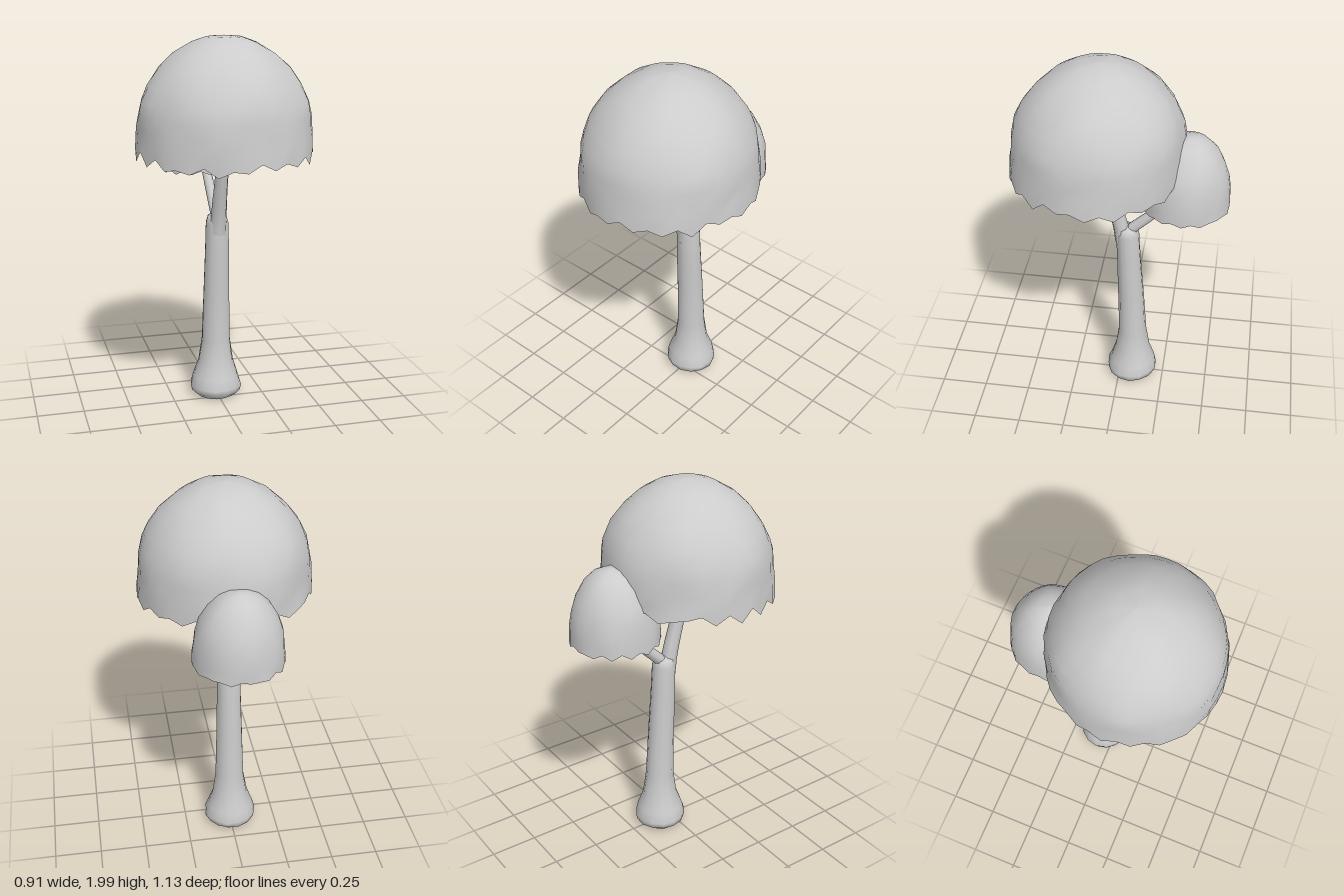
import * as THREE from 'three';

const grey = new THREE.MeshStandardMaterial({ color: 0xcccccc, side: THREE.DoubleSide });

// Small repeatable value in -1..1
const hash = (n) => {
  const s = Math.sin(n * 127.1 + 11.7) * 43758.5453;
  return 2 * (s - Math.floor(s)) - 1;
};

// Skins rings of equal point count, seams welded so the normals stay smooth
function skin(name, rings) {
  const n = rings[0].length, index = [];
  for (let j = 0; j < rings.length - 1; j++) {
    for (let i = 0; i < n; i++) {
      const a = j * n + i, b = j * n + (i + 1) % n;
      index.push(a, a + n, b, b, a + n, b + n);
    }
  }
  const geometry = new THREE.BufferGeometry();
  geometry.setAttribute('position', new THREE.Float32BufferAttribute(rings.flat(2), 3));
  geometry.setIndex(index);
  geometry.computeVertexNormals();
  const mesh = new THREE.Mesh(geometry, grey);
  mesh.name = name;
  return mesh;
}

// Limb bending in the x = 0 plane; rows are [y, z, radius]
function limb(name, rows, sides, roughness) {
  const rings = rows.map(([y, z, r], j) => {
    const p = rows[Math.max(j - 1, 0)], q = rows[Math.min(j + 1, rows.length - 1)];
    const dy = q[0] - p[0], dz = q[1] - p[1], len = Math.hypot(dy, dz);
    return Array.from({ length: sides }, (_, i) => {
      const a = (i / sides) * Math.PI * 2;
      const k = r * (1 + roughness * hash(i * 3 + j * 0.01));
      const s = Math.sin(a) * k;
      return [Math.cos(a) * k, y - s * dz / len, z + s * dy / len];
    });
  });
  return skin(name, rings);
}

// Hollow, lumpy dome with a torn rim; profile rows are [y, radius, z centre]
function canopy(name, profile, sides, lump, rimY) {
  const rings = profile.map(([y, r, zc], j) =>
    Array.from({ length: sides }, (_, i) => {
      const a = (i / sides) * Math.PI * 2;
      const wave = Math.sin(a * 5 + y * 11) + Math.sin(a * 8 - y * 17) * 0.7;
      const k = r * (1 + lump * (wave * 0.5 + hash(i + j * 57) * 0.6));
      const height = j === profile.length - 1 ? rimY(a, i) : y + (r > 0 ? lump * 0.3 * r * wave : 0);
      return [Math.cos(a) * k, height, zc + Math.sin(a) * k];
    }));
  return skin(name, rings.reverse());
}

export function createModel() {
  const tree = new THREE.Group();
  tree.name = 'tree';

  // Trunk: open underneath, bevelled foot, flared base, rounded top
  tree.add(limb('trunk', [
    [0.008, -0.07, 0.105], [0.035, -0.07, 0.138], [0.065, -0.07, 0.14], [0.12, -0.07, 0.124],
    [0.2, -0.07, 0.096], [0.33, -0.07, 0.077], [0.6, -0.06, 0.071], [0.85, -0.047, 0.065],
    [1.0, -0.04, 0.061], [1.04, -0.038, 0.05], [1.06, -0.037, 0],
  ], 14, 0.035));

  // Two branches forking forward and backward
  tree.add(limb('frontBranch', [
    [0.95, -0.02, 0.047], [1.04, -0.005, 0.043], [1.12, 0.015, 0.04],
    [1.25, 0.05, 0.037], [1.45, 0.095, 0.036], [1.6, 0.12, 0.03], [1.62, 0.123, 0],
  ], 8, 0.04));
  tree.add(limb('backBranch', [
    [0.99, -0.03, 0.032], [1.05, -0.075, 0.031], [1.15, -0.18, 0.028],
    [1.22, -0.26, 0.027], [1.32, -0.325, 0.025], [1.4, -0.35, 0.022], [1.41, -0.353, 0],
  ], 8, 0.04));

  // Large canopy, hanging slightly lower at the front
  tree.add(canopy('largeCanopy', [
    [2.0, 0, 0.1], [1.992, 0.09, 0.1], [1.965, 0.165, 0.1], [1.91, 0.255, 0.1], [1.84, 0.33, 0.1],
    [1.76, 0.387, 0.102], [1.68, 0.422, 0.105], [1.61, 0.437, 0.108], [1.55, 0.441, 0.108],
    [1.49, 0.449, 0.11], [1.41, 0.453, 0.11],
  ], 40, 0.013, (a, i) => 1.413 - 0.022 * Math.sin(a) + (i % 2 ? 0.014 : -0.014) + 0.022 * hash(i + 5)));

  // Small canopy behind and below
  tree.add(canopy('smallCanopy', [
    [1.63, 0, -0.35], [1.623, 0.05, -0.35], [1.6, 0.1, -0.345], [1.55, 0.151, -0.34],
    [1.48, 0.192, -0.336], [1.41, 0.215, -0.335], [1.34, 0.225, -0.335],
    [1.29, 0.229, -0.335], [1.245, 0.231, -0.335],
  ], 30, 0.015, (a, i) => 1.248 + (i % 2 ? 0.007 : -0.007) + 0.01 * hash(i + 40)));

  return tree;
}
